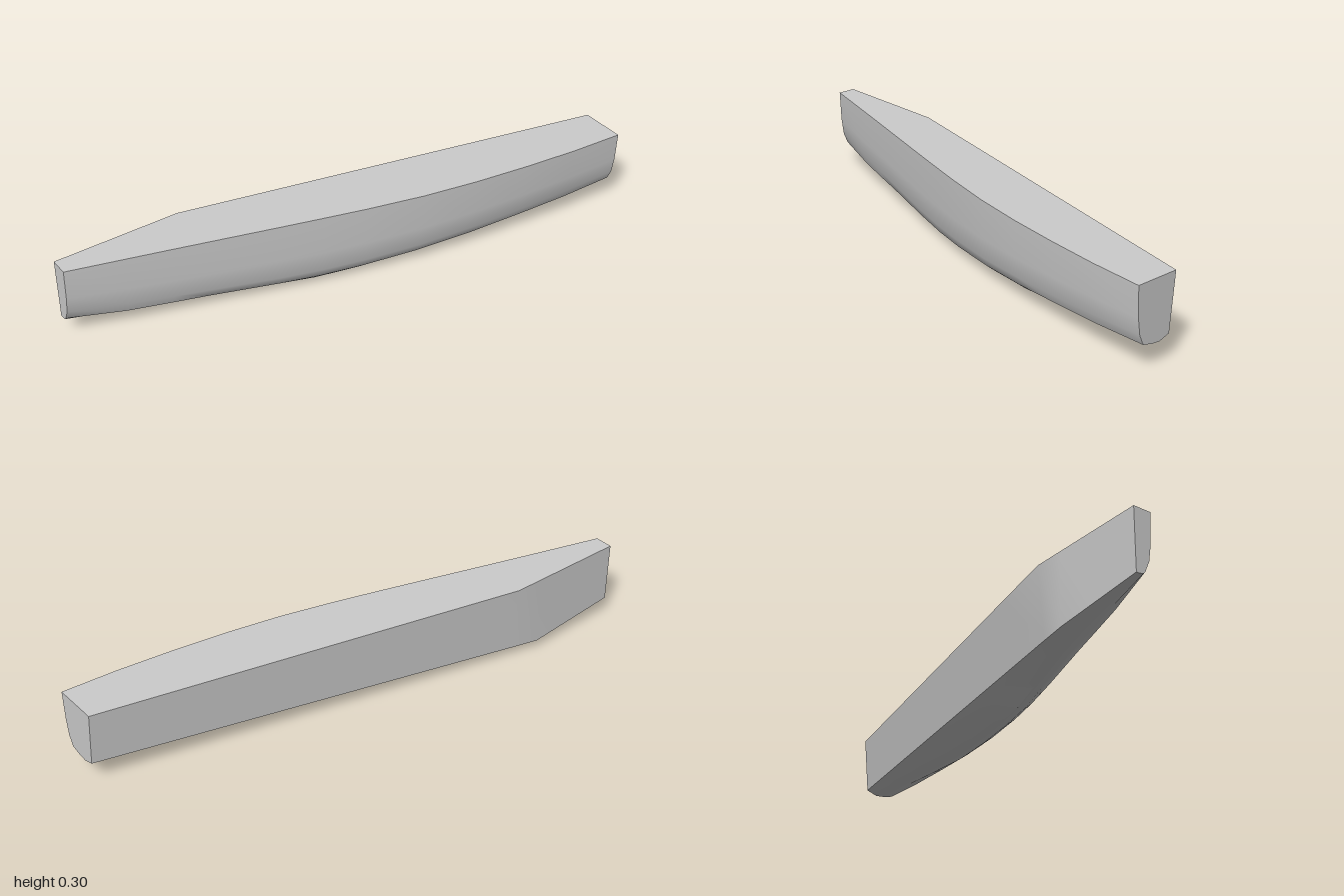
import * as THREE from 'three';
import { toCreasedNormals } from 'three/addons/utils/BufferGeometryUtils.js';

const DECK = 0.3;
const SIDE = -0.254; // flat cut along the side near the front

// Stations from front to back: z, outer deck x, keel x, keel y, bilge depth fraction
const stations = [
  [1, -0.187, -0.245, 0.073, 0.943],
  [0.8, -0.13, -0.22, 0.044, 0.93],
  [0.65, -0.087, -0.19, 0.031, 0.91],
  [0.54, -0.055, -0.16, 0.024, 0.9],
  [0.3, 0.015, -0.085, 0.007, 0.89],
  [0.15, 0.058, -0.035, 0.002, 0.89],
  [0, 0.1, 0.005, 0.006, 0.89],
  [-0.2, 0.15, 0.055, 0.018, 0.89],
  [-0.4, 0.188, 0.1, 0.034, 0.9],
  [-0.6, 0.217, 0.12, 0.051, 0.91],
  [-0.8, 0.24, 0.135, 0.068, 0.93],
  [-1, 0.254, 0.15, 0.082, 0.94],
];

// One cross-section: inner wall down, round the keel, up the outer side
function section([z, outer, keelX, keelY, bilge]) {
  const plane = -0.254 - (z - 0.54) * 0.2234;
  const innerY = z > 0.65 ? 0.036 + (z - 0.65) * 0.106 : 0.036 + (0.65 - z) * 0.036;
  const innerX = Math.max(SIDE, plane + 0.09 * (DECK - innerY));
  const depth = DECK - keelY;
  const at = (inset, fraction) => new THREE.Vector3(outer - inset, DECK - depth * fraction, z);
  return [
    new THREE.Vector3(Math.max(SIDE, plane), DECK, z),
    new THREE.Vector3(innerX, innerY, z),
    new THREE.Vector3(keelX, keelY, z),
    at((outer - keelX) * 0.68, 0.985),
    at(0.031, bilge),
    at(0.014, 0.77),
    at(0.005, 0.5),
    at(0, 0),
  ];
}

function hullGeometry() {
  const rings = stations.map(section);
  const n = rings[0].length;
  const points = [];
  // skin and deck
  for (let i = 0; i < rings.length - 1; i++) {
    for (let j = 0; j < n; j++) {
      const k = (j + 1) % n;
      const a = rings[i][j], b = rings[i][k], c = rings[i + 1][k], d = rings[i + 1][j];
      points.push(a, d, b, b, d, c);
    }
  }
  // flat end faces
  const front = rings[0], back = rings[rings.length - 1];
  for (let j = 1; j < n - 1; j++) {
    points.push(front[0], front[j], front[j + 1]);
    points.push(back[0], back[j + 1], back[j]);
  }
  return toCreasedNormals(new THREE.BufferGeometry().setFromPoints(points), 0.6);
}

export function createModel() {
  const group = new THREE.Group();
  const material = new THREE.MeshStandardMaterial({ color: 0xcccccc });
  const hull = new THREE.Mesh(hullGeometry(), material);
  hull.name = 'hullSection';
  group.add(hull);
  return group;
}
